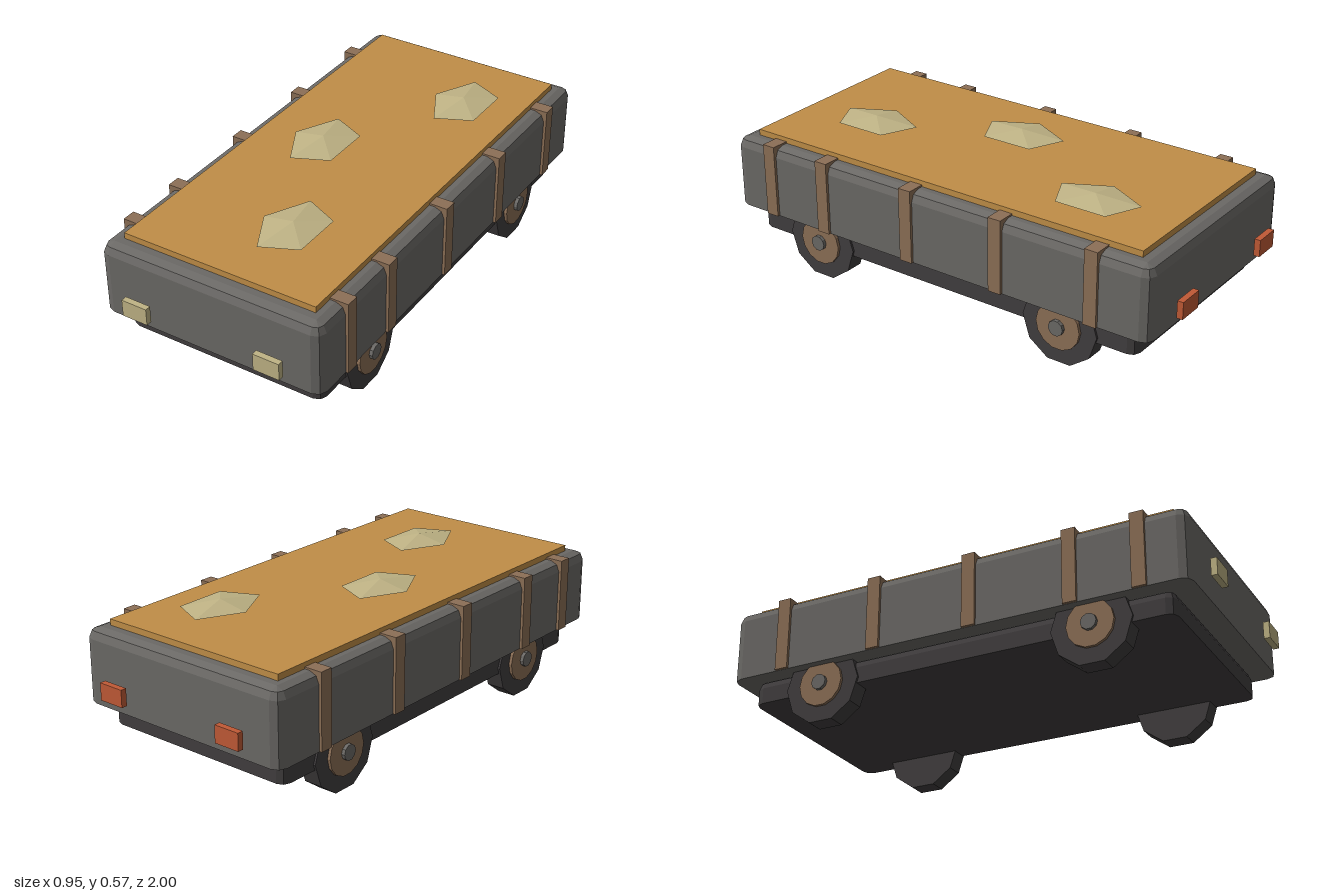
import * as THREE from 'three';
import { ConvexGeometry } from 'three/addons/geometries/ConvexGeometry.js';

const mat = (name, color, flatShading = false) => {
  const m = new THREE.MeshStandardMaterial({ color, flatShading });
  m.name = name;
  return m;
};

// Box with a flat bottom and two-step rounded upright and top edges
function roundedTopBox(hx, hz, y0, y1, r) {
  const points = [];
  const addRing = (y, inset) => {
    const c = r - inset;
    for (const sx of [-1, 1]) for (const sz of [-1, 1]) {
      for (const a of c > 0.001 ? [0, Math.PI / 4, Math.PI / 2] : [0]) {
        points.push(new THREE.Vector3(
          sx * (hx - r + c * Math.cos(a)), y, sz * (hz - r + c * Math.sin(a))));
      }
    }
  };
  addRing(y0, 0);
  for (const a of [0, Math.PI / 4, Math.PI / 2]) {
    addRing(y1 - r + r * Math.sin(a), r * (1 - Math.cos(a)));
  }
  return new ConvexGeometry(points);
}

export function createModel() {
  const root = new THREE.Group();
  root.name = 'wagon';
  const grey = mat('bodyGrey', 0x6b6966, true);
  const dark = mat('darkRubber', 0x413e3f, true);
  const brown = mat('brownWood', 0x8c6f56, true);
  const ochre = mat('ochrePanel', 0xc08e47);
  const cream = mat('paleCream', 0xbfb385, true);
  const red = mat('tailRed', 0xc05a36);

  const add = (name, geometry, material, x = 0, y = 0, z = 0) => {
    const mesh = new THREE.Mesh(geometry, material);
    mesh.name = name;
    mesh.position.set(x, y, z);
    root.add(mesh);
    return mesh;
  };

  // Chassis, body and roof panel
  add('chassis', roundedTopBox(0.415, 0.868, 0.127, 0.226, 0.035), dark);
  add('body', roundedTopBox(0.465, 0.945, 0.225, 0.514, 0.04), grey);
  add('roofPanel', new THREE.BoxGeometry(0.806, 0.026, 1.75), ochre, 0, 0.525, 0);

  // Low five-sided mounds over the roof
  const mound = new THREE.ConeGeometry(0.126, 0.023, 5).rotateY(-Math.PI / 2).scale(1, 1, 1.414);
  for (const [x, z] of [[0.178, -0.54], [-0.136, 0], [0.089, 0.54]]) {
    add('roofMound', mound, cream, x, 0.56, z);
  }

  // Wheel parts: [name, inner x, outer x, radius, sides, material]
  const wheelParts = [
    ['wheel', 0.35, 0.423, 0.1577, 10, dark],
    ['wheelDisc', 0.42, 0.435, 0.0925, 14, brown],
    ['hubCap', 0.43, 0.449, 0.031, 10, grey],
  ];

  for (const side of [-1, 1]) {
    // Upright ribs
    for (const z of [-0.714, -0.31, 0.094, 0.498, 0.762]) {
      add('sideRib', new THREE.BoxGeometry(0.073, 0.295, 0.054), brown, side * 0.4395, 0.3735, z);
    }
    for (const z of [-0.557, 0.557]) {
      for (const [name, inner, outer, radius, sides, material] of wheelParts) {
        const geometry = new THREE.CylinderGeometry(radius, radius, outer - inner, sides).rotateZ(Math.PI / 2);
        add(name, geometry, material, side * (inner + outer) / 2, 0.15, z);
      }
    }
    // Lamps standing clear of both ends
    const lamp = new THREE.BoxGeometry(0.107, 0.068, 0.024);
    add('headLamp', lamp, cream, side * 0.28, 0.315, 0.988);
    add('tailLamp', lamp, red, side * 0.28, 0.315, -0.988);
  }
  return root;
}
